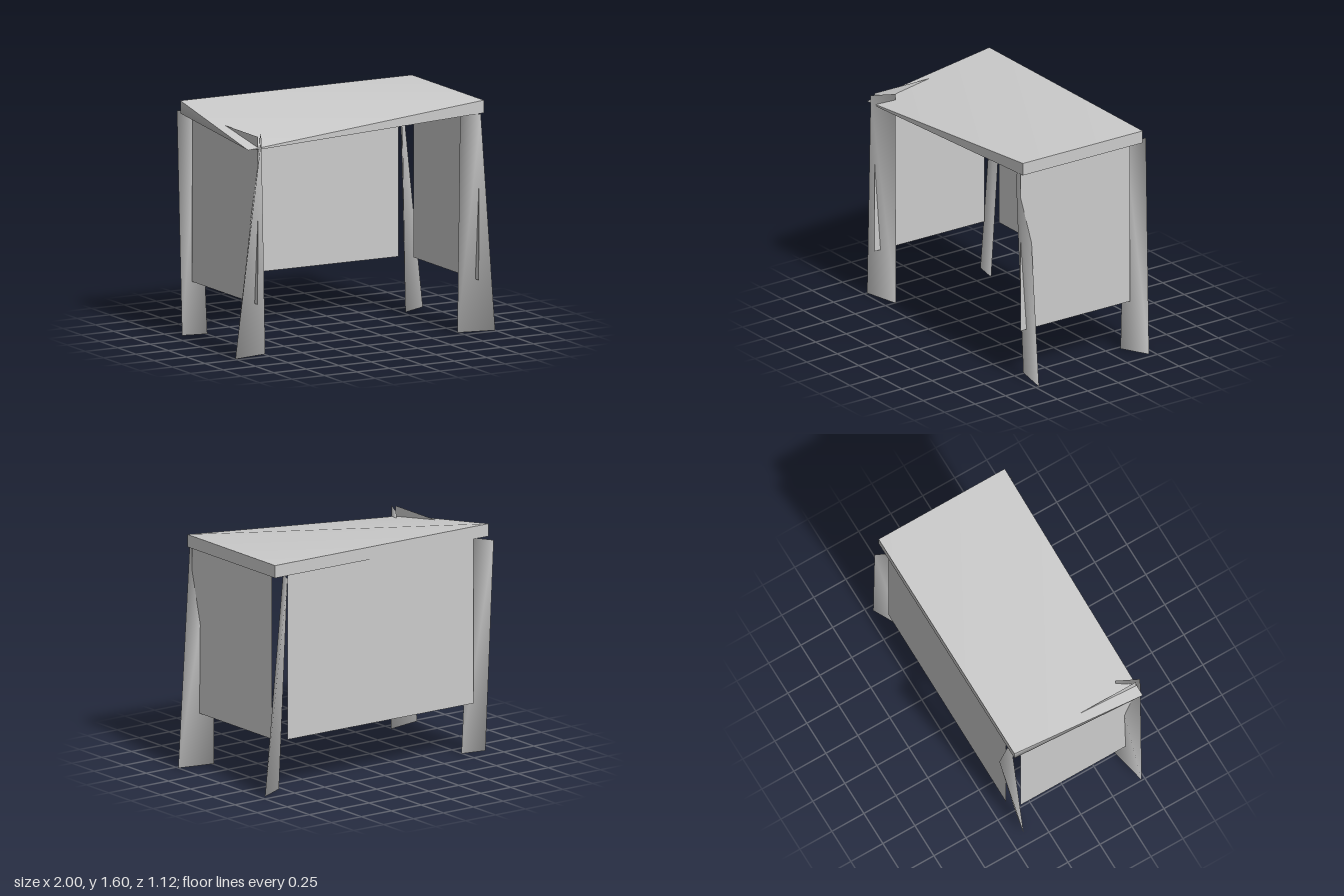
import * as THREE from 'three';

const material = new THREE.MeshStandardMaterial({ color: 0xcccccc, side: THREE.DoubleSide });

// Smooth surface from a few corner points and triangles
function surface(name, points, index) {
  const geometry = new THREE.BufferGeometry();
  geometry.setAttribute('position', new THREE.Float32BufferAttribute(points.flat(), 3));
  geometry.setIndex(index);
  geometry.computeVertexNormals();
  const mesh = new THREE.Mesh(geometry, material);
  mesh.name = name;
  return mesh;
}

// Twisted leg: the inner and outer [x, z] ends of its edge at the floor and at the top.
// The outside and inside sheets fold along opposite diagonals, which gives it thickness.
function leg(name, bottom, top) {
  const points = [
    ...bottom.map(([x, z]) => [x, 0, z]),
    ...top.map(([x, z]) => [x, 1.51, z]),
  ];
  const index = [0, 1, 3, 0, 3, 2, 1, 0, 2, 1, 2, 3];
  // keep the faces outward in the mirrored quarters
  if (bottom[0][0] * bottom[0][1] < 0) index.reverse();
  return surface(name, points, index);
}

// Thin upright panel between two [x, z] points
function panel(name, [x0, z0], [x1, z1]) {
  const low = 0.365, high = 1.515;
  return surface(name,
    [[x0, low, z0], [x1, low, z1], [x1, high, z1], [x0, high, z0]],
    [0, 1, 2, 0, 2, 3]);
}

// Table top: a thin slab whose front right-hand corner sags
function tableTop() {
  const geometry = new THREE.BoxGeometry(1, 1, 1);
  const p = geometry.attributes.position;
  for (let i = 0; i < p.count; i++) {
    const up = p.getY(i) > 0, front = p.getZ(i) > 0, left = p.getX(i) > 0;
    let x = left ? 0.885 : -0.9;
    let y = up ? 1.597 : 1.51;
    if (front && !left) {
      x = up ? -0.93 : -0.82;
      y = up ? 1.433 : 1.43;
    }
    p.setXYZ(i, x, y, front ? 0.525 : -0.46);
  }
  // split the upper face so that only the sagging half slopes
  const index = Array.from(geometry.index.array);
  index.splice(12, 6, 8, 10, 11, 8, 11, 9);
  geometry.setIndex(index);
  geometry.computeVertexNormals();
  const mesh = new THREE.Mesh(geometry, material);
  mesh.name = 'tableTop';
  return mesh;
}

export function createModel() {
  const model = new THREE.Group();
  model.name = 'desk';
  model.add(tableTop());

  // Panels on three sides
  model.add(panel('backPanel', [0.775, -0.45], [-0.78, -0.455]));
  model.add(panel('leftPanel', [0.85, 0.52], [0.85, -0.378]));
  model.add(panel('rightPanel', [-0.85, -0.385], [-0.85, 0.52]));

  // Front legs, mirrored
  const frontBottom = [[0.74, 0.42], [1, 0.475]];
  const frontTop = [[0.77, 0.405], [0.845, 0.555]];
  const mirror = (points) => points.map(([x, z]) => [-x, z]);
  model.add(leg('frontLeftLeg', frontBottom, frontTop));
  model.add(leg('frontRightLeg', mirror(frontBottom), mirror(frontTop)));

  // Back legs
  model.add(leg('backLeftLeg',
    [[0.775, -0.355], [0.965, -0.455]], [[0.77, -0.395], [0.83, -0.525]]));
  model.add(leg('backRightLeg',
    [[-0.745, -0.365], [-0.92, -0.4]], [[-0.785, -0.42], [-0.87, -0.56]]));
  return model;
}
